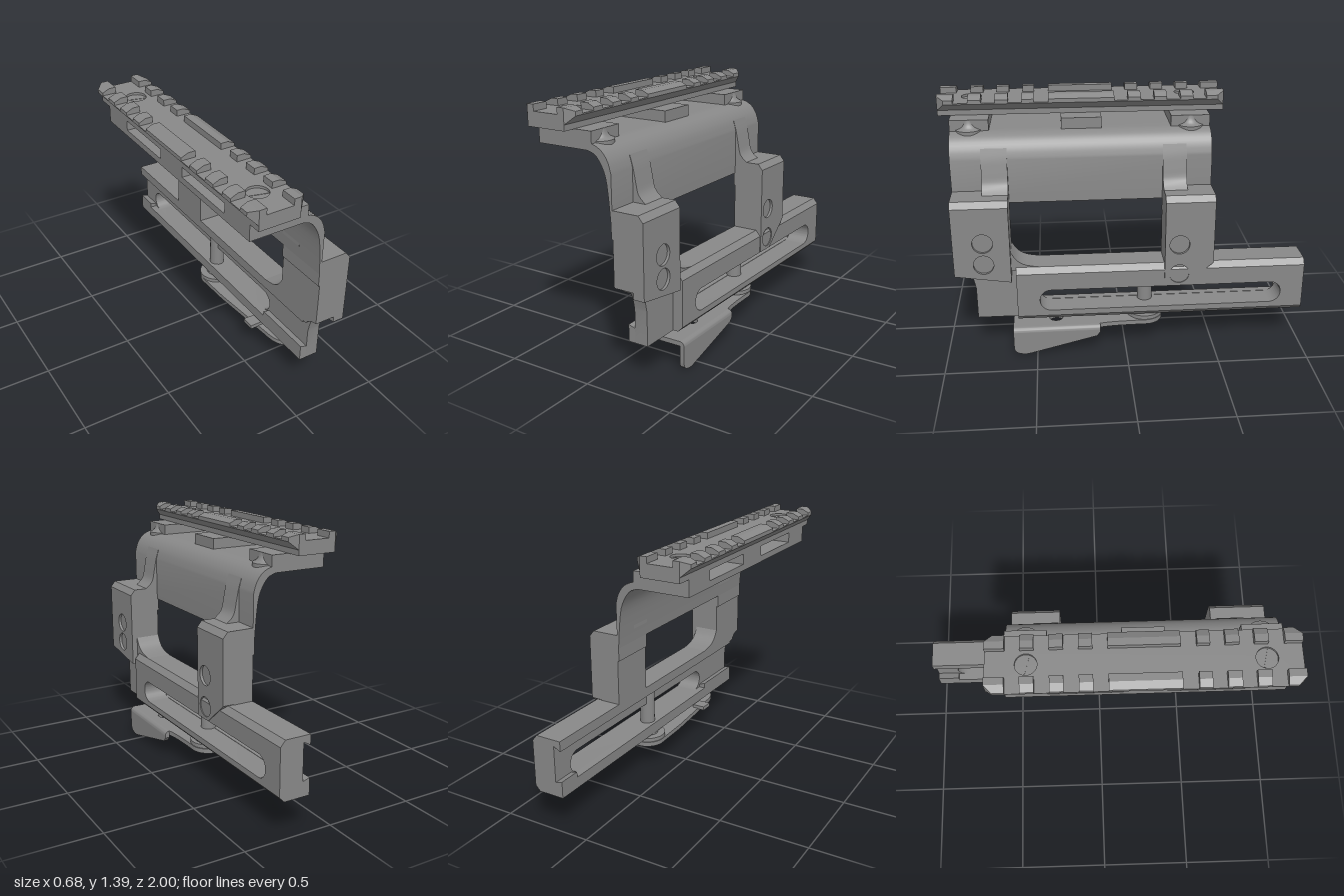
import * as THREE from 'three';
import { toCreasedNormals } from 'three/addons/utils/BufferGeometryUtils.js';

const material = new THREE.MeshStandardMaterial({ color: 0x888888 });
const spline = (pts, n = 12) =>
  new THREE.SplineCurve(pts.map(p => new THREE.Vector2(...p))).getPoints(n).map(v => [v.x, v.y]);
const shapeOf = pts => new THREE.Shape(pts.map(p => new THREE.Vector2(...p)));
const circle = (x, y, r) => new THREE.Path().absarc(x, y, r, 0, Math.PI * 2, true);

export function createModel() {
  const model = new THREE.Group();

  function add(name, geometry) {
    const mesh = new THREE.Mesh(toCreasedNormals(geometry, 0.5), material);
    mesh.name = name;
    model.add(mesh);
    return mesh;
  }
  const extrude = (shape, depth, steps = 1) =>
    new THREE.ExtrudeGeometry(shape, { depth, steps, bevelEnabled: false, curveSegments: 16 });
  // profile of [x, y] points, run along z
  const alongZ = (pts, z0, z1) => extrude(shapeOf(pts), z1 - z0).translate(0, 0, z0);
  // outline of [z, y] points, run along x
  const sideShape = pts => shapeOf(pts.map(([z, y]) => [-z, y]));
  const alongX = (shape, x0, x1, steps) => extrude(shape, x1 - x0, steps).rotateY(Math.PI / 2).translate(x0, 0, 0);
  // plan shape in (x, -z), run upwards
  const alongY = (shape, y0, y1) => extrude(shape, y1 - y0).rotateX(-Math.PI / 2).translate(0, y0, 0);
  const box = (x0, x1, y0, y1, z0, z1) => new THREE.BoxGeometry(x1 - x0, y1 - y0, z1 - z0)
    .translate((x0 + x1) / 2, (y0 + y1) / 2, (z0 + z1) / 2);
  const disc = (x, y0, y1, z, r) => new THREE.CylinderGeometry(r, r, y1 - y0, 32).translate(x, (y0 + y1) / 2, z);

  // Accessory rail: flat core with screw holes
  const RX = -0.1885, HALF = 0.113, RZ0 = -0.575, RZ1 = 1;
  const screwZ = [-0.37, 0.82];
  const core = shapeOf([[RX - HALF, -RZ1], [RX + HALF, -RZ1], [RX + HALF, -RZ0], [RX - HALF, -RZ0]]);
  for (const z of screwZ) core.holes.push(circle(RX, -z, 0.056));
  add('accessoryRail', alongY(core, 1.28, 1.356));
  for (const z of screwZ) {
    add('railScrew', disc(RX, 1.285, 1.343, z, 0.056));
    const ridge = add('railScrewSlot', box(-0.05, 0.05, 0, 0.003, -0.006, 0.006));
    ridge.position.set(RX, 1.342, z);
    ridge.rotation.y = -0.25;
  }

  // Side pieces of the rail, their plan corners bevelled at both rail ends
  function addSidePieces(name, profile, z0, z1) {
    for (const side of [-1, 1]) {
      const pts = profile.map(([x, y]) => [RX + side * x, y]);
      const g = alongZ(pts, z0, z1), p = g.attributes.position;
      for (let i = 0; i < p.count; i++) {
        const cut = Math.max(0, Math.abs(p.getX(i) - RX) - HALF);
        p.setZ(i, THREE.MathUtils.clamp(p.getZ(i), RZ0 + cut, RZ1 - cut));
      }
      add(name, g);
    }
  }
  addSidePieces('railFlange', [[HALF, 1.31], [0.152, 1.35], [0.152, 1.356], [HALF, 1.356]], RZ0, RZ1);
  const teeth = [[0.91, 1], [0.76, 0.83], [0.615, 0.685], [0.475, 0.54], [0.035, 0.395],
    [-0.11, -0.04], [-0.255, -0.185], [-0.4, -0.33], [-0.575, -0.475]];
  for (const [z0, z1] of teeth) {
    addSidePieces('railTooth', [[0.073, 1.355], [HALF, 1.355], [HALF, 1.39], [0.073, 1.39]], z0, z1);
    addSidePieces('railToothTip', [[HALF, 1.355], [0.152, 1.355], [0.152, 1.372], [HALF, 1.39]], z0, z1);
  }

  // Curved arm: flat plate bending down into a thin wall
  const outer = spline([[0.0, 1.222], [0.04, 1.217], [0.085, 1.192], [0.118, 1.147], [0.135, 1.09]]);
  const inner = spline([[0.127, 0.842], [0.117, 0.967], [0.104, 1.065], [0.08, 1.125], [0.045, 1.17], [0.0, 1.187]]);
  add('arm', alongZ([[-0.3, 1.187], [-0.3, 1.222], ...outer, [0.135, 0.842], ...inner].reverse(), -0.485, 0.93));

  // Pads that hold the rail off the plate, the end ones with flared bosses
  for (const [z0, z1] of [[0.72, 0.93], [0.11, 0.33], [-0.485, -0.27]])
    add('railPad', box(-0.3, 0.025, 1.2, 1.281, z0, z1));
  const bossProfile = [[0, 1.19], [0.076, 1.19], [0.076, 1.226],
    ...spline([[0.074, 1.227], [0.053, 1.238], [0.041, 1.258], [0.036, 1.28]], 8), [0, 1.28]];
  for (const z of [0.83, -0.38])
    add('padBoss', new THREE.LatheGeometry(bossProfile.map(p => new THREE.Vector2(...p)), 32).translate(-0.01, 0, z));

  // Flared ribs joining the arm to the legs
  const flare = spline([[0.12, 1.15], [0.138, 1.09], [0.152, 1.02], [0.168, 0.955], [0.21, 0.914]]);
  for (const [z0, z1] of [[0.625, 0.765], [-0.345, -0.215]])
    add('legRib', alongZ([[0.12, 0.914], ...flare.reverse()], z0, z1));

  // Side plate with its outer top (and bottom) edges chamfered
  const XI = 0.135, XM = 0.25, XO = 0.313, XB = 0.308, TOP = 0.915;
  function chamferedAlongX(shape, x0, x1, top, bottom) {
    const g = alongX(shape, x0, x1, 2), p = g.attributes.position;
    for (let i = 0; i < p.count; i++) {
      const x = p.getX(i), y = p.getY(i);
      if (x > x1 - 0.001) {
        if (y > top - 0.001) p.setY(i, y - 0.033);
        if (y < bottom + 0.001) p.setY(i, y + 0.028);
      } else if (x > x0 + 0.001) p.setX(i, x1 - 0.027);
    }
    return g;
  }

  // Legs: outer plate with recessed screws over an inner block
  function addLeg(name, outline, screws, z0, z1, innerBottom) {
    const shape = sideShape(outline);
    for (const [z, y] of screws) {
      shape.holes.push(circle(-z, y, 0.055));
      const head = add('legScrew', new THREE.CylinderGeometry(0.055, 0.055, 0.05, 32).rotateZ(Math.PI / 2));
      head.position.set(XO - 0.04, y, z);
    }
    add(name, chamferedAlongX(shape, XM, XO, TOP, 0));
    add(name + 'Inner', box(XI, XM, innerBottom, TOP, z0, z1));
    add(name + 'Lip', box(0.127, 0.14, 0.77, 0.85, z0, z1));
  }
  addLeg('frontLeg', [[0.93, TOP], [0.93, 0.49], [0.625, 0.445], [0.625, TOP]],
    [[0.77, 0.68], [0.77, 0.555]], 0.625, 0.93, 0.524);
  addLeg('rearLeg', [[-0.215, TOP], [-0.215, 0.388], [-0.325, 0.388], [-0.485, 0.522], [-0.485, TOP]],
    [[-0.295, 0.635], [-0.295, 0.46]], -0.485, -0.215, 0.48);

  // Foot below the front leg, with a concave upper corner
  const footCurve = spline([[0.93, 0.525], [0.88, 0.508], [0.845, 0.465], [0.825, 0.385]], 10);
  add('frontFoot', alongX(sideShape([[0.59, 0.53], [0.93, 0.53], ...footCurve, [0.825, 0.2], [0.59, 0.2]]), 0.175, XM));
  add('footLip', alongX(sideShape([[0.59, 0.53], [0.93, 0.53], ...footCurve.slice(0, 7), [0.59, 0.475]]), XI, 0.176));

  // Long slotted clamp bar, chamfered on its outer edges
  const BT = 0.518;
  const bar = sideShape([[0.6, BT], [0.6, 0.2], [-1, 0.2], [-1, BT]]);
  const slot = new THREE.Path();
  slot.moveTo(-0.413, 0.26);
  slot.absarc(0.812, 0.3225, 0.0625, -Math.PI / 2, Math.PI / 2, false);
  slot.absarc(-0.413, 0.3225, 0.0625, Math.PI / 2, Math.PI * 1.5, false);
  bar.holes.push(slot);
  add('clampBar', chamferedAlongX(bar, 0.175, XB, BT, 0.2));

  // Dovetail lips along the inner side of the bar and foot
  add('upperLip', alongZ([[XI, 0.462], [0.176, 0.484], [0.176, BT], [XI, BT]], -1, 0.825));
  add('lowerLip', box(XI, 0.176, 0.2, 0.262, -1, 0.825));
  for (const [z0, z1] of [[0.475, 0.825], [-1, -0.875]])
    add('lowerLipEnd', alongZ([[XI, 0.25], [0.176, 0.25], [0.176, 0.28], [XI, 0.293]], z0, z1));

  // Concave fillet between front leg and clamp bar
  const fillet = spline([[0.625, 0.61], [0.595, 0.563], [0.55, 0.533], [0.475, BT]], 10);
  add('legFillet', alongX(sideShape([[0.64, 0.5], [0.64, 0.61], ...fillet, [0.475, 0.5]]), XI, 0.281));

  // Pivot bolt with washers
  const PX = 0.193, PZ = -0.115;
  add('pivotBolt', disc(PX, 0.115, 0.475, PZ, 0.042));
  add('pivotWasher', disc(PX, 0.168, 0.19, PZ, 0.102));
  add('pivotCollar', disc(PX, 0.188, 0.2, PZ, 0.06));
  add('pivotNut', disc(PX, 0.128, 0.14, PZ, 0.072));

  // Lever plate, rounded about the pivot, with a small hole and a tab
  const BEND = 0.311, THICK = 0.026, LY = 0.138;
  const plate = new THREE.Shape();
  plate.moveTo(BEND, -0.63);
  plate.lineTo(BEND, -0.15);
  plate.quadraticCurveTo(0.293, -0.1, 0.293, -PZ);
  plate.absarc(PX, -PZ, 0.1, 0, Math.PI, false);
  plate.lineTo(0.1, -0.1);
  plate.lineTo(0.135, -0.5);
  plate.quadraticCurveTo(0.14, -0.63, 0.2, -0.63);
  plate.holes.push(circle(0.22, -0.39, 0.038));
  add('leverPlate', alongY(plate, LY, LY + THICK));
  add('leverTab', box(0.08, 0.16, 0.16, 0.183, 0.365, 0.44));

  // Lever handle: a rounded bend and a tapering blade hanging from it
  const bend = [[BEND, LY]];
  for (let i = 0; i <= 8; i++) {
    const a = i * Math.PI / 16;
    bend.push([BEND + THICK * Math.cos(a), LY + THICK * Math.sin(a)]);
  }
  add('leverBend', alongZ(bend, 0.145, 0.63));
  const tip = spline([[0.535, 0.006], [0.565, 0.001], [0.6, 0.006], [0.625, 0.022], [0.63, 0.05]], 8);
  add('leverHandle', alongX(sideShape([[0.145, LY], [0.145, 0.125], [0.165, 0.1], ...tip, [0.63, LY]]),
    BEND, BEND + THICK));

  return model;
}
